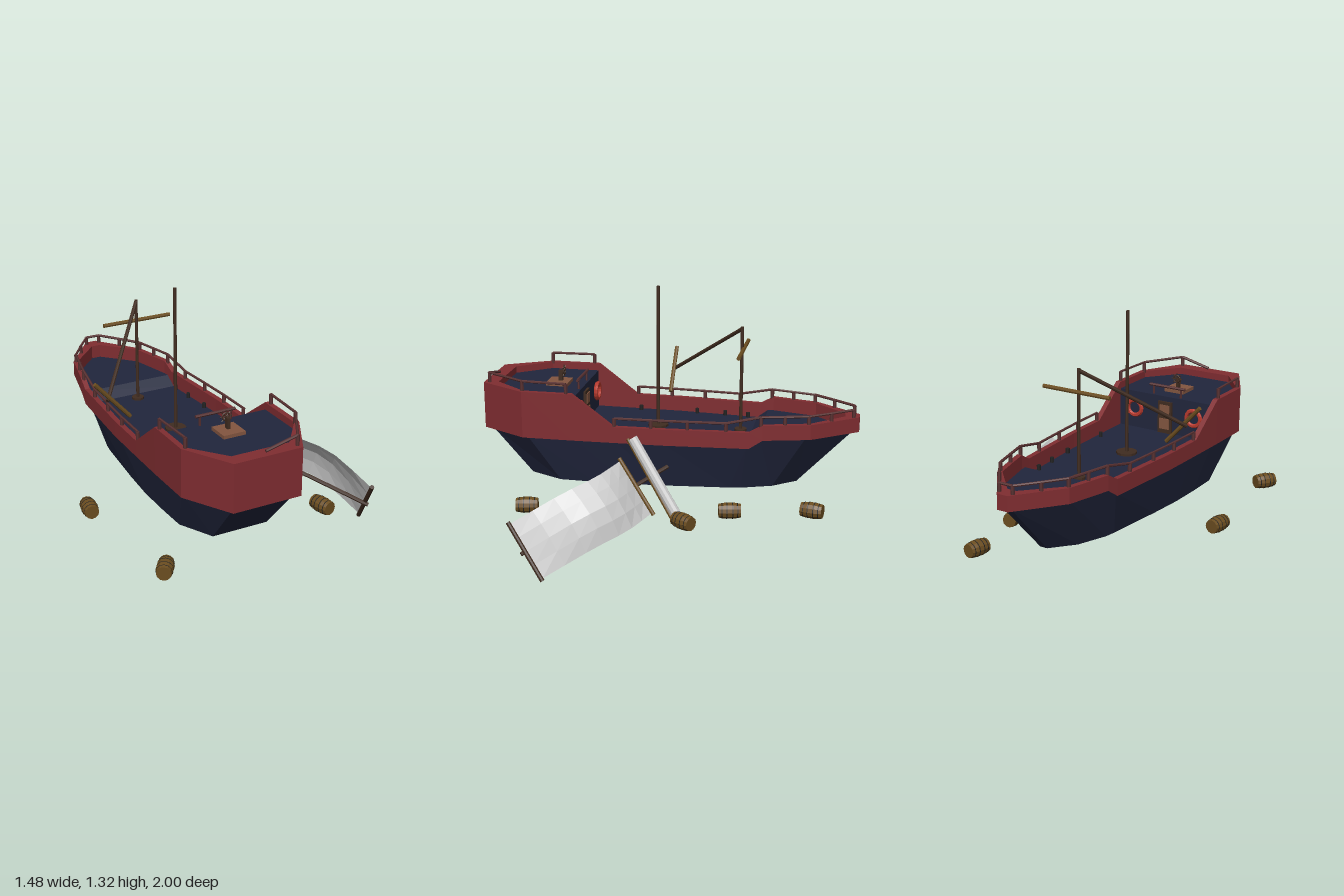
import * as THREE from 'three';

const mat = (color) => new THREE.MeshStandardMaterial({ color, flatShading: true, side: THREE.DoubleSide });
const RED = mat(0x802d31), BLUE = mat(0x21263d), DARK = mat(0x402c20), RAIL = mat(0x573030),
  OAK = mat(0x6b4d20), PLATE = mat(0x835640), RING = mat(0xb83a2e), IRON = mat(0x222222), SAIL = mat(0xcccccc);
const V = (x, y, z) => new THREE.Vector3(x, y, z);

// piecewise linear lookup in rows of [z, value]
function lookup(rows, z) {
  if (z <= rows[0][0]) return rows[0][1];
  for (let i = 1; i < rows.length; i++) {
    const [z0, v0] = rows[i - 1], [z1, v1] = rows[i];
    if (z <= z1) return v0 + (v1 - v0) * (z - z0) / (z1 - z0);
  }
  return rows[rows.length - 1][1];
}

// faceted skin through cross-sections of equal point count
function loft(sections, closed) {
  const n = sections[0].length, pos = [], idx = [];
  sections.forEach((s) => s.forEach((p) => pos.push(p.x, p.y, p.z)));
  const last = closed ? sections.length : sections.length - 1;
  for (let i = 0; i < last; i++) {
    for (let j = 0; j < n - 1; j++) {
      const a = i * n + j, b = ((i + 1) % sections.length) * n + j;
      idx.push(a, b, b + 1, a, b + 1, a + 1);
    }
  }
  const g = new THREE.BufferGeometry();
  g.setAttribute('position', new THREE.Float32BufferAttribute(pos, 3));
  g.setIndex(idx);
  const out = g.toNonIndexed();
  out.computeVertexNormals();
  return out;
}

function add(parent, name, geo, material, x = 0, y = 0, z = 0) {
  const m = new THREE.Mesh(geo, material);
  m.name = name;
  m.position.set(x, y, z);
  parent.add(m);
  return m;
}

// round beam between two points
function beam(parent, name, a, b, r, material, sides = 8) {
  const d = b.clone().sub(a);
  const m = add(parent, name, new THREE.CylinderGeometry(r, r, d.length(), sides), material);
  m.position.copy(a).add(b).multiplyScalar(0.5);
  m.quaternion.setFromUnitVectors(V(0, 1, 0), d.normalize());
  return m;
}

// hull plan: half widths from bow (-z) to stern (+z)
const OUTER = [[-1, 0.03], [-0.76, 0.21], [-0.52, 0.27], [-0.45, 0.277], [0, 0.31], [0.26, 0.316], [0.48, 0.32], [0.75, 0.32], [1, 0.183]];
const KEEL = [[-0.68, 0.02], [-0.56, 0.12], [-0.4, 0.18], [-0.34, 0.19], [0, 0.225], [0.2, 0.24], [0.38, 0.242], [0.57, 0.238], [0.75, 0.15]];
const INNER = OUTER.map(([z, w]) => [z - Math.sign(z) * Math.max(0, Math.abs(z) - 0.75) * 0.3, Math.max(0.025, w - 0.028)]);
const topY = (z) => lookup([[-0.52, 0.68], [-0.45, 0.64], [0.26, 0.64], [0.48, 0.805]], z);
const lowY = (z) => lookup([[-0.52, 0.6], [-0.45, 0.553]], z);

// closed loop of sections: port side bow to stern, then starboard back
const around = (fn) => [
  ...OUTER.map((_, i) => fn(i, 1)),
  ...OUTER.map((_, i) => fn(OUTER.length - 1 - i, -1)),
];

function buildShip() {
  const ship = new THREE.Group();
  ship.name = 'ship';

  add(ship, 'lowerHull', loft(around((i, s) => {
    const [z, w] = OUTER[i], [kz, kw] = KEEL[i];
    return [V(0, 0.3, kz), V(s * kw, 0.3, kz), V(s * Math.max(0.025, w - 0.017), lowY(z) + 0.005, z * 0.97)];
  }), true), BLUE);

  add(ship, 'bulwark', loft(around((i, s) => {
    const [z, w] = OUTER[i], [iz, iw] = INNER[i], t = topY(z), l = lowY(z);
    return [V(s * (w - 0.025), l, z * 0.96), V(s * w, l, z), V(s * w, t, z), V(s * iw, t, iz), V(s * iw, l, iz)];
  }), true), RED);

  // foredeck, step, main deck, cabin wall and aft deck in one strip
  const deckRows = [[-0.925, 0.607], [-0.757, 0.607], [-0.52, 0.607], [-0.49, 0.607], [-0.43, 0.56], [0, 0.56],
    [0.26, 0.56], [0.485, 0.56], [0.485, 0.768], [0.75, 0.768], [0.925, 0.768]];
  add(ship, 'deck', loft(deckRows.map(([z, y]) => {
    const w = lookup(INNER, z) + 0.004;
    return [V(-w, y, z), V(w, y, z)];
  })), BLUE);

  // cabin front: door, life rings and bar above
  add(ship, 'door', new THREE.BoxGeometry(0.085, 0.18, 0.012), DARK, 0, 0.65, 0.479);
  add(ship, 'doorUpperPanel', new THREE.BoxGeometry(0.06, 0.055, 0.006), PLATE, 0, 0.695, 0.471);
  add(ship, 'doorLowerPanel', new THREE.BoxGeometry(0.06, 0.06, 0.006), PLATE, 0, 0.615, 0.471);
  for (const s of [-1, 1]) {
    add(ship, 'lifeRing', new THREE.TorusGeometry(0.043, 0.012, 6, 16), RING, s * 0.185, 0.68, 0.464);
    beam(ship, 'barLeg', V(s * 0.085, 0.76, 0.5), V(s * 0.085, 0.82, 0.5), 0.006, RAIL, 6);
  }
  beam(ship, 'cabinBar', V(-0.11, 0.82, 0.5), V(0.11, 0.82, 0.5), 0.008, RAIL, 6);

  // helm
  add(ship, 'helmPlatform', new THREE.BoxGeometry(0.12, 0.018, 0.12), PLATE, 0, 0.777, 0.63);
  add(ship, 'helmStand', new THREE.BoxGeometry(0.016, 0.065, 0.024), DARK, 0, 0.81, 0.622);
  add(ship, 'wheel', new THREE.TorusGeometry(0.02, 0.004, 5, 12), DARK, 0, 0.84, 0.603);
  for (let i = 0; i < 4; i++) {
    const a = i * Math.PI / 4, c = Math.cos(a) * 0.033, d = Math.sin(a) * 0.033;
    beam(ship, 'wheelSpoke', V(-c, 0.84 - d, 0.603), V(c, 0.84 + d, 0.603), 0.003, DARK, 5);
  }

  // railings
  const railPoint = (s, z, y) => V(s * Math.max(0.02, lookup(OUTER, z) - 0.014), y, z);
  const railing = (points) => points.forEach((p, i) => {
    beam(ship, 'railPost', V(p.x, topY(p.z) - 0.01, p.z), p, 0.01, RAIL, 6);
    if (i) beam(ship, 'rail', points[i - 1], p, 0.007, RAIL, 6);
  });
  for (const s of [-1, 1]) {
    railing([0.255, 0.06, -0.13, -0.33, -0.51, -0.63, -0.75, -0.86, -0.97]
      .map((z) => railPoint(s, z, z > -0.4 ? 0.683 : 0.722)));
    railing([V(s * 0.308, 0.857, 0.51), V(s * 0.298, 0.857, 0.75)]);
  }
  beam(ship, 'bowRail', railPoint(-1, -0.97, 0.722), railPoint(1, -0.97, 0.722), 0.007, RAIL, 6);

  // stern railing with its snapped end
  beam(ship, 'sternPost', V(0.17, 0.8, 0.97), V(0.17, 0.86, 0.97), 0.01, RAIL, 6);
  beam(ship, 'sternRail', V(0.298, 0.857, 0.75), V(0.17, 0.857, 0.97), 0.007, RAIL, 6);
  beam(ship, 'brokenRail', V(0.17, 0.857, 0.97), V(0, 0.815, 0.97), 0.008, RAIL, 6);

  // deck bollards
  for (const s of [-1, 1]) for (const z of [-0.38, -0.25, -0.09, 0.23]) {
    const w = Math.min(0.26, lookup(INNER, z) - 0.015);
    add(ship, 'bollard', new THREE.CylinderGeometry(0.011, 0.011, 0.03, 8), IRON, s * w, 0.572, z);
  }

  // masts and spars
  for (const [name, z, top, base] of [['mainMast', 0.08, 1.33, 0.055], ['foreMast', -0.37, 1.13, 0.033]]) {
    beam(ship, name, V(0, 0.55, z), V(0, top, z), 0.009, DARK);
    add(ship, name + 'Base', new THREE.CylinderGeometry(base, base, 0.014, 12), DARK, 0, 0.565, z);
  }
  beam(ship, 'foreYard', V(-0.187, 1.012, -0.38), V(0.203, 1.012, -0.38), 0.011, OAK);
  beam(ship, 'swingBoom', V(0, 1.12, -0.37), V(-0.37, 0.785, 0.055), 0.01, DARK);
  beam(ship, 'boomYard', V(-0.44, 0.89, 0.06), V(-0.25, 0.68, 0.06), 0.011, OAK);

  ship.position.x = -0.17;
  return ship;
}

function buildWreckage() {
  const wreck = new THREE.Group();
  wreck.name = 'fallenRigging';

  // billowing sail swept along a curve, with a slight bulge across
  const curve = new THREE.CatmullRomCurve3([V(0.24, 0.49, 0.2), V(0.42, 0.465, 0.28), V(0.56, 0.41, 0.43), V(0.667, 0.28, 0.66)]);
  const drop = V(0.062, -0.255, -0.175), bulge = V(0.03, 0.025, -0.02);
  const rows = curve.getPoints(7).map((p, i) => [0, 1, 2, 3, 4].map((j) =>
    p.clone().addScaledVector(drop, j / 4).addScaledVector(bulge, Math.sin(Math.PI * j / 4) * Math.sin(Math.PI * i / 7))));
  add(wreck, 'sail', loft(rows), SAIL);
  beam(wreck, 'sailUpperSpar', V(0.238, 0.505, 0.205), V(0.303, 0.23, 0.01), 0.011, OAK);
  beam(wreck, 'sailLowerSpar', V(0.667, 0.285, 0.675), V(0.733, 0.012, 0.485), 0.012, DARK);
  beam(wreck, 'brokenMast', V(0.13, 0.437, -0.03), V(0.705, 0.135, 0.6), 0.011, DARK);

  // furled sail beside its spar
  beam(wreck, 'furledSail', V(0.185, 0.6, 0.145), V(0.28, 0.222, -0.11), 0.027, SAIL, 10);
  beam(wreck, 'furledSpar', V(0.17, 0.59, 0.175), V(0.263, 0.205, -0.075), 0.01, OAK);
  return wreck;
}

function buildBarrel() {
  const barrel = new THREE.Group();
  barrel.name = 'barrel';
  const profile = [[0, -0.057], [0.036, -0.057], [0.042, -0.02], [0.042, 0.02], [0.036, 0.057], [0, 0.057]];
  add(barrel, 'barrelBody', new THREE.LatheGeometry(profile.map(([r, y]) => new THREE.Vector2(r, y)), 12), OAK);
  for (const y of [-0.04, -0.015, 0.015, 0.04]) {
    const r = Math.abs(y) > 0.03 ? 0.0395 : 0.043;
    add(barrel, 'hoop', new THREE.CylinderGeometry(r, r, 0.005, 12, 1, true), IRON, 0, y, 0);
  }
  return barrel;
}

export function createModel() {
  const model = new THREE.Group();
  model.name = 'wreckedShip';
  model.add(buildShip(), buildWreckage());

  // floating barrels: x, z, yaw
  for (const [x, z, yaw] of [[0.155, -0.79, -0.2], [0.24, -0.375, 0.2], [0.425, -0.165, -0.6],
    [-0.695, 0.135, -0.15], [0.36, 0.67, 0.2], [-0.62, 0.835, -0.6]]) {
    const barrel = buildBarrel();
    barrel.position.set(x, 0.259, z);
    barrel.rotation.set(Math.PI / 2, yaw, 0, 'YXZ');
    model.add(barrel);
  }
  return model;
}
